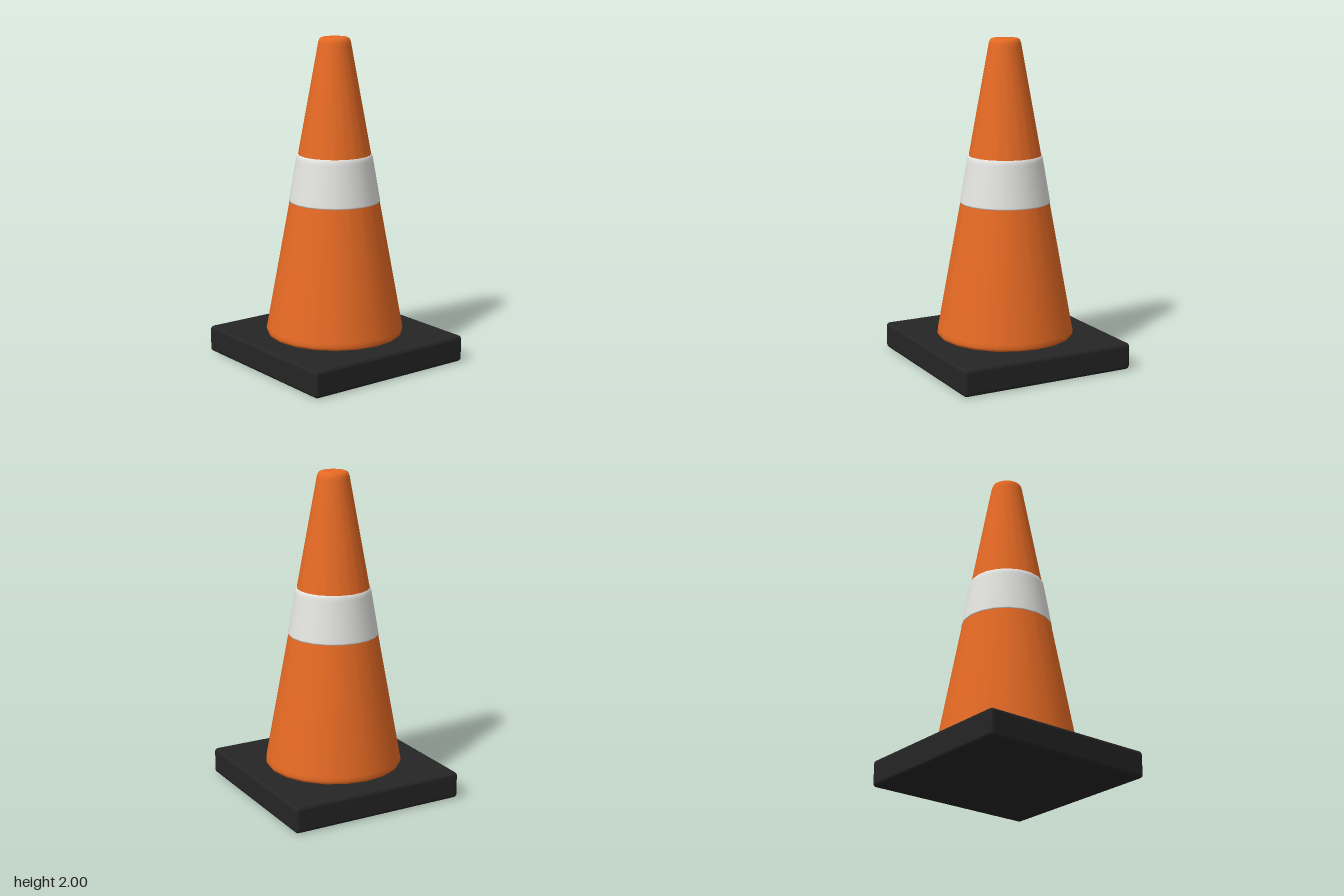
import * as THREE from 'three';
import { RoundedBoxGeometry } from 'three/addons/geometries/RoundedBoxGeometry.js';

const SIDES = 20;

function material(name, color) {
  const m = new THREE.MeshStandardMaterial({ color });
  m.name = name;
  return m;
}

// Turned part from [radius, height] pairs, listed bottom to top on the outside
function turned(name, profile, mat) {
  const points = profile.map(([r, y]) => new THREE.Vector2(r, y));
  const mesh = new THREE.Mesh(new THREE.LatheGeometry(points, SIDES), mat);
  mesh.name = name;
  return mesh;
}

export function createModel() {
  const orange = material('orange plastic', 0xe66a24);
  const white = material('reflective white', 0xe4e4e1);
  const black = material('black rubber', 0x252525);
  const group = new THREE.Group();
  group.name = 'trafficCone';

  // Square rubber foot with softened edges
  const base = new THREE.Mesh(new RoundedBoxGeometry(1.13, 0.165, 1.13, 3, 0.022), black);
  base.name = 'base';
  base.position.y = 0.0825;
  group.add(base);

  // Tapered body with rounded lower rim and rounded closed tip
  group.add(turned('coneBody', [
    [0, 0.165], [0.405, 0.165], [0.418, 0.17], [0.425, 0.187], [0.421, 0.21],
    [0.102, 1.95], [0.098, 1.972], [0.09, 1.992], [0.075, 2], [0.06, 2], [0, 2],
  ], orange));

  // Reflective collar, slightly proud of the body, with a bevelled top edge
  group.add(turned('reflectiveBand', [
    [0.27, 1.0], [0.279, 1.0], [0.278, 1.008], [0.236, 1.255],
    [0.233, 1.272], [0.226, 1.29], [0.218, 1.29],
  ], white));

  return group;
}
